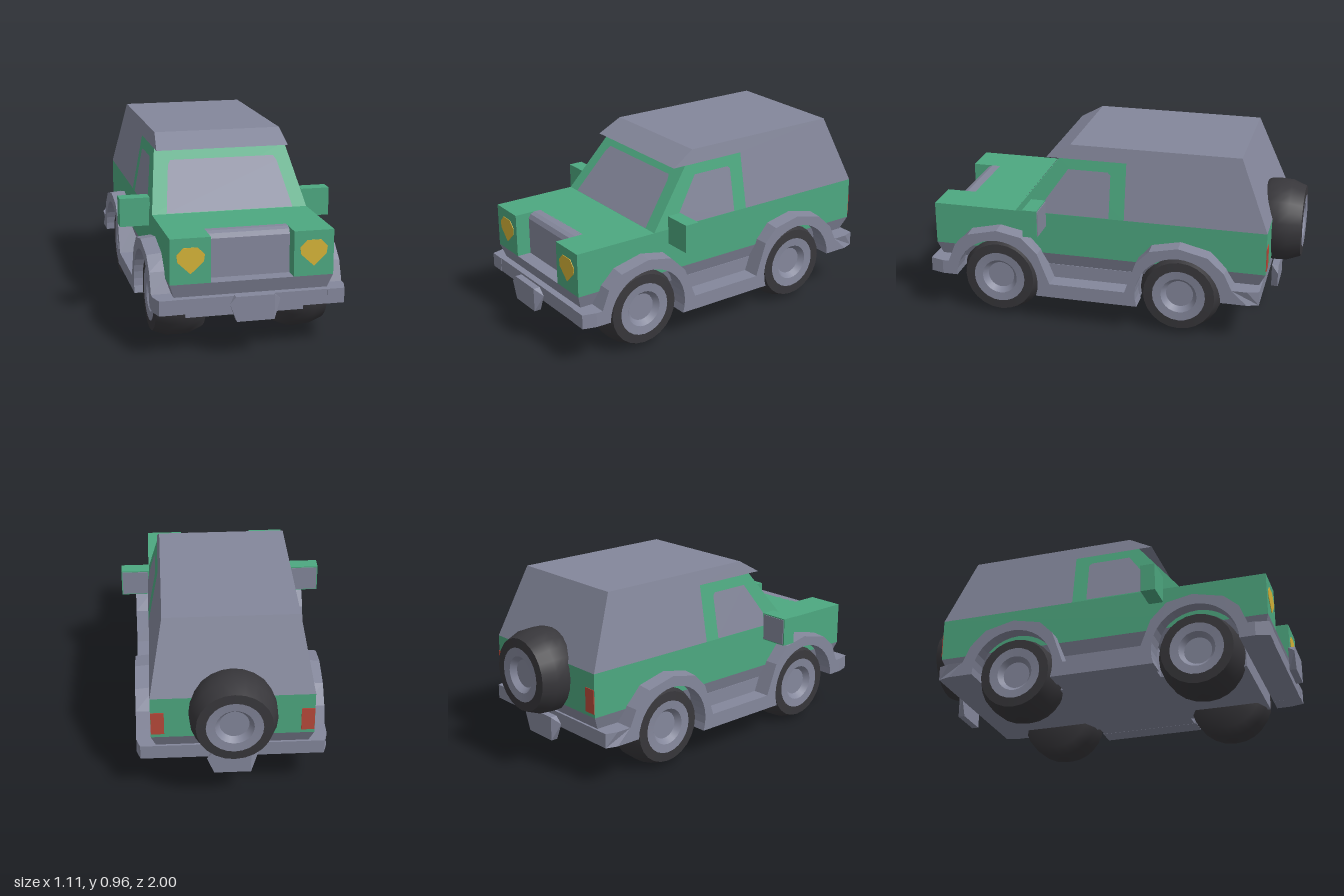
import * as THREE from 'three';
import { ConvexGeometry } from 'three/addons/geometries/ConvexGeometry.js';

const paint = (name, color) => {
  const m = new THREE.MeshStandardMaterial({ color });
  m.name = name;
  return m;
};

export function createModel() {
  const model = new THREE.Group();
  model.name = 'offRoadCar';
  const green = paint('green paint', 0x4da880);
  const grey = paint('grey trim', 0x84879b);
  const rubber = paint('tyre rubber', 0x38373b);
  const amber = paint('amber lamp', 0xd4b238);
  const red = paint('red lamp', 0xb84a3a);
  const glass = paint('grey glass', 0x84879b);
  glass.side = THREE.DoubleSide;

  const add = (name, geometry, material, parent = model) => {
    const mesh = new THREE.Mesh(geometry, material);
    mesh.name = name;
    parent.add(mesh);
    return mesh;
  };
  const box = (name, material, x0, x1, y0, y1, z0, z1) =>
    add(name, new THREE.BoxGeometry(Math.abs(x1 - x0), y1 - y0, z1 - z0), material)
      .position.set((x0 + x1) / 2, (y0 + y1) / 2, (z0 + z1) / 2);
  const polygon = (pts) => new THREE.Shape(pts.map(([a, b]) => new THREE.Vector2(a, b)));

  // Side profile of [z, y] points swept across x; place() gives the final position.
  const prism = (shape, place) => {
    const g = new THREE.ExtrudeGeometry(shape, { depth: 1, bevelEnabled: false, curveSegments: 10 });
    const p = g.attributes.position;
    for (let i = 0; i < p.count; i++) {
      const [x, y, z] = place(p.getZ(i), p.getY(i), p.getX(i));
      p.setXYZ(i, x, y, z);
    }
    g.computeVertexNormals();
    return g;
  };
  const across = (width) => (t, y, z) => [(1 - 2 * t) * width(y), y, z];
  // Flat plate from corners in 3D
  const plate = (pts) => {
    const g = new THREE.BufferGeometry().setFromPoints(pts.map((p) => new THREE.Vector3(...p)));
    const index = [];
    for (let i = 1; i < pts.length - 1; i++) index.push(0, i, i + 1);
    g.setIndex(index);
    g.computeVertexNormals();
    return g;
  };

  // Lower body with a notch for the grille
  const plan = polygon([[-0.405, 0.85], [-0.405, -0.925], [-0.205, -0.925], [-0.205, -0.78],
    [0.205, -0.78], [0.205, -0.925], [0.405, -0.925], [0.405, 0.85]]);
  const body = new THREE.ExtrudeGeometry(plan, { depth: 0.227, bevelEnabled: false });
  body.rotateX(-Math.PI / 2).translate(0, 0.37, 0);
  add('lowerBody', body, green);
  add('grille', prism(polygon([[0.77, 0.37], [0.85, 0.37], [0.85, 0.565], [0.838, 0.588],
    [0.815, 0.597], [0.77, 0.597]]), across(() => 0.205)), grey);

  // Tapered skirt, chassis and floor
  add('skirt', prism(polygon([[-0.85, 0.37], [-0.815, 0.295], [0.9, 0.295], [0.925, 0.37]]),
    across((y) => 0.38 + (y - 0.295) * 0.333)), grey);
  box('chassis', grey, -0.3, 0.3, 0.15, 0.36, -0.63, 0.785);
  box('floor', grey, -0.385, 0.385, 0.15, 0.3, -0.19, 0.34);

  // Cabin frame and hardtop, both leaning inwards
  const lean = (y) => 0.405 - (y - 0.597) * 0.19;
  add('cabinFrame', prism(polygon([[-0.11, 0.597], [0.475, 0.597], [0.245, 0.89], [-0.11, 0.89]]),
    across(lean)), green);
  add('hardtop', prism(polygon([[-0.85, 0.597], [-0.11, 0.597], [-0.11, 0.89], [0.315, 0.89],
    [0.19, 0.963], [-0.7, 0.963]]), across(lean)), grey);

  // Windscreen
  const screenZ = (y) => 0.475 - (y - 0.597) * 0.785 + 0.005;
  add('windscreen', plate([[-0.33, 0.6], [0.33, 0.6], [0.29, 0.81], [0.275, 0.835],
    [-0.275, 0.835], [-0.29, 0.81]].map(([x, y]) => [x, y, screenZ(y)])), glass);

  // Bumpers
  box('frontBumper', grey, -0.46, 0.46, 0.225, 0.3, 0.79, 0.938);
  box('rearBumper', grey, -0.46, 0.46, 0.225, 0.3, -0.83, -0.635);

  // Wheel: tyre and dished rim turned around y
  const turned = (pts) => new THREE.LatheGeometry(pts.map(([r, y]) => new THREE.Vector2(r, y)), 24);
  const tyre = turned([[0, -0.125], [0.185, -0.128], [0.215, -0.055], [0.218, 0], [0.215, 0.055],
    [0.188, 0.125], [0.188, 0.125], [0.14, 0.128]]);
  const rim = turned([[0.14, 0.06], [0.14, 0.128], [0.14, 0.128], [0.095, 0.124], [0.095, 0.124],
    [0.072, 0.095], [0.072, 0.095], [0, 0.095]]);
  const wheel = (name, x, y, z, rx, rz) => {
    const g = new THREE.Group();
    g.name = name;
    add('tyre', tyre, rubber, g);
    add('rim', rim, grey, g);
    g.position.set(x, y, z);
    g.rotation.set(rx, 0, rz);
    model.add(g);
  };
  wheel('spareWheel', 0, 0.52, -0.872, -Math.PI / 2, 0);

  // Outline of the flares and sill along one side
  const flare = new THREE.Shape();
  flare.moveTo(0.94, 0.225);
  [[0.94, 0.3], [0.87, 0.3], [0.835, 0.3], [0.795, 0.4], [0.72, 0.475], [0.56, 0.512], [0.425, 0.485],
    [0.34, 0.39], [0.275, 0.225], [-0.13, 0.225], [-0.19, 0.4], [-0.26, 0.48], [-0.41, 0.512],
    [-0.565, 0.475], [-0.65, 0.385], [-0.69, 0.3], [-0.77, 0.3], [-0.83, 0.3], [-0.83, 0.225],
    [-0.77, 0.225], [-0.635, 0.225]].forEach(([z, y]) => flare.lineTo(z, y));
  flare.absarc(-0.41, 0.22, 0.225, Math.PI - 0.02, -0.32, true);
  flare.absarc(0.565, 0.22, 0.225, Math.PI + 0.32, 0.02, true);
  flare.lineTo(0.87, 0.225);

  for (const s of [1, -1]) {
    const side = s > 0 ? 'left' : 'right';
    for (const [end, z] of [['Front', 0.565], ['Rear', -0.41]])
      wheel(side + end + 'Wheel', s * 0.315, 0.218, z, 0, -s * Math.PI / 2);

    // Outer edge drops slightly and its ends are chamfered
    add(side + 'Flares', prism(flare, (t, y, z) => {
      const outer = s > 0 ? t < 0.5 : t > 0.5;
      const reach = Math.abs(z - 0.055) > 0.86 ? 0.46 : 0.48;
      return [s * (outer ? reach : 0.375), outer && y > 0.46 ? y - 0.01 : y, z];
    }), grey);

    // Side window
    add(side + 'Window', plate([[-0.03, 0.6], [0.312, 0.6], [0.312, 0.67], [0.195, 0.838],
      [-0.015, 0.838], [-0.03, 0.825]].map(([z, y]) => [s * (lean(y) + 0.004), y, z])), glass);

    // Door mirror with glass on its rear face
    box(side + 'Mirror', green, s * 0.4, s * 0.555, 0.52, 0.667, 0.312, 0.388);
    box(side + 'MirrorGlass', grey, s * 0.407, s * 0.549, 0.526, 0.661, 0.308, 0.313);

    // Lamps
    const lamp = new THREE.ExtrudeGeometry(polygon([[0.305, 0.42], [0.368, 0.48], [0.373, 0.515],
      [0.34, 0.55], [0.27, 0.55], [0.235, 0.515], [0.24, 0.48]].map(([x, y]) => [s * x, y])),
    { depth: 0.005, bevelEnabled: false });
    add(side + 'Headlamp', lamp, amber).position.z = 0.923;
    box(side + 'TailLamp', red, s * 0.338, s * 0.404, 0.39, 0.515, -0.854, -0.848);
  }

  // Skewed tow plates, the rear one turned about
  const towPlate = new ConvexGeometry([
    [-0.13, 0.28, 0.018], [-0.1, 0.315, 0.018], [0.09, 0.315, 0.018], [0.09, 0.19, 0.018],
    [-0.095, 0.19, 0.018], [0.128, 0.28, -0.018], [0.09, 0.315, -0.018], [-0.1, 0.315, -0.018],
    [-0.095, 0.19, -0.018], [0.09, 0.19, -0.018]].map((p) => new THREE.Vector3(...p)));
  add('frontTowPlate', towPlate, grey).position.z = 0.982;
  const rearTow = add('rearTowPlate', towPlate, grey);
  rearTow.position.set(0, -0.025, -0.868);
  rearTow.rotation.y = Math.PI;

  return model;
}
